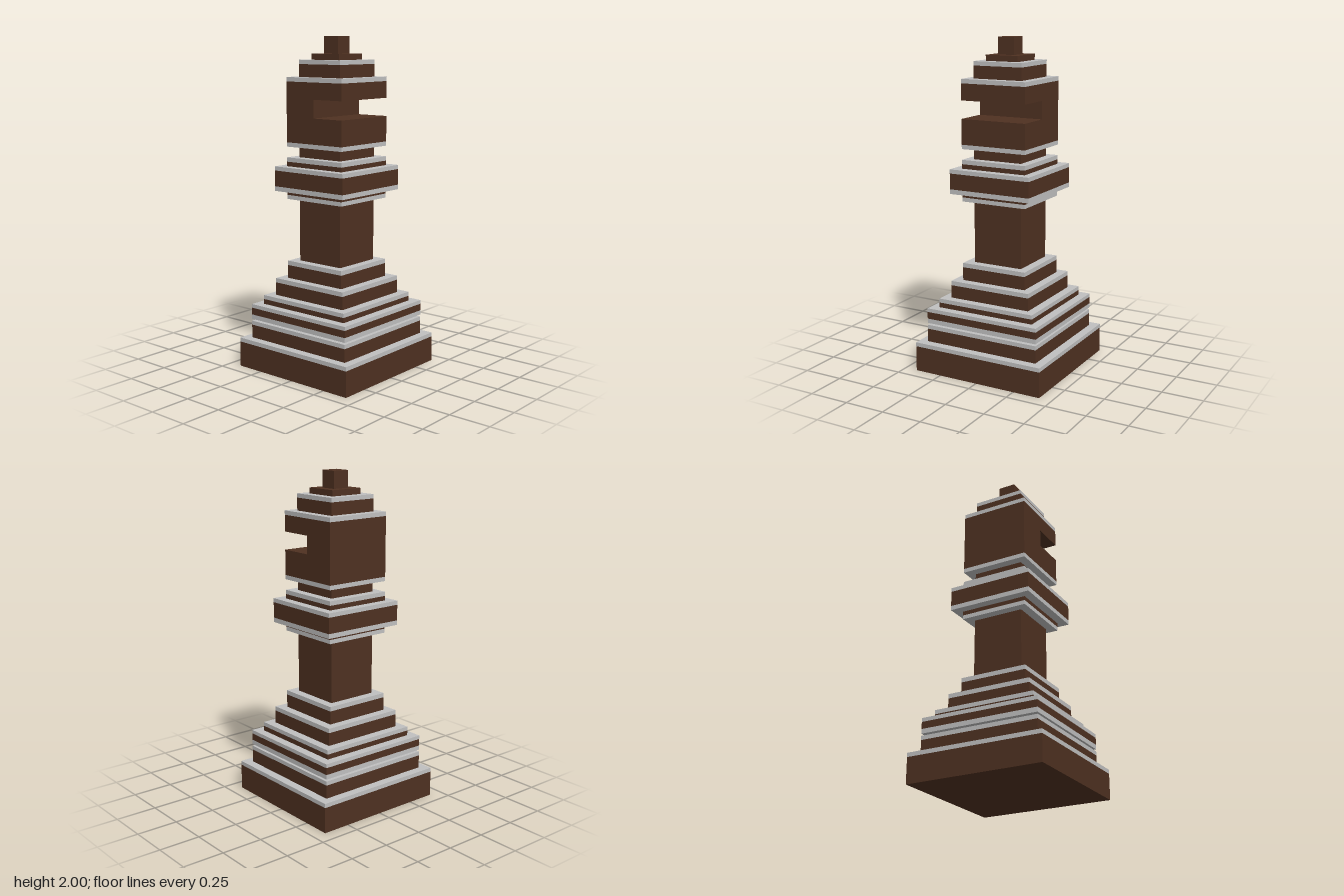
import * as THREE from 'three';

export function createModel() {
  const model = new THREE.Group();
  model.name = 'chessPiece';

  const wood = new THREE.MeshStandardMaterial({ color: 0x4f3121 });
  wood.name = 'dark brown';
  const silver = new THREE.MeshStandardMaterial({ color: 0xc0c0c0 });
  silver.name = 'light grey';

  const STEP = 0.0525; // every tier's half width is a multiple of this

  function tier(name, steps, y0, y1, material) {
    const w = steps * STEP * 2;
    const mesh = new THREE.Mesh(new THREE.BoxGeometry(w, y1 - y0, w), material);
    mesh.position.y = (y0 + y1) / 2;
    mesh.name = name;
    model.add(mesh);
  }

  // Brown tiers: name, half width in steps, bottom, top
  [
    ['base', 8, 0, 0.155],
    ['lowerStep', 7, 0.18, 0.26],
    ['baseGroove', 6, 0.285, 0.297],
    ['middleStep', 7, 0.325, 0.367],
    ['upperStep', 6, 0.39, 0.42],
    ['lowerNeck', 5, 0.445, 0.523],
    ['upperNeck', 4, 0.55, 0.63],
    ['shaft', 3, 0.657, 1.037],
    ['collarUnderside', 4, 1.062, 1.087],
    ['collar', 5, 1.115, 1.21],
    ['collarTop', 4, 1.235, 1.262],
    ['throat', 3, 1.288, 1.352],
    ['crown', 3, 1.763, 1.838],
    ['finialBase', 2, 1.863, 1.898],
    ['finial', 1, 1.898, 2],
  ].forEach(([name, steps, y0, y1]) => tier(name, steps, y0, y1, wood));

  // Light trim bands: half width in steps, bottom, top
  [
    [8, 0.155, 0.18],
    [7, 0.26, 0.285],
    [7, 0.297, 0.325],
    [7, 0.367, 0.39],
    [6, 0.42, 0.445],
    [5, 0.523, 0.55],
    [4, 0.63, 0.657],
    [4, 1.037, 1.062],
    [5, 1.087, 1.115],
    [5, 1.21, 1.235],
    [4, 1.262, 1.288],
    [4, 1.352, 1.378],
    [4, 1.737, 1.763],
    [3, 1.838, 1.863],
  ].forEach(([steps, y0, y1], i) => tier(`trimBand${i + 1}`, steps, y0, y1, silver));

  // Head: side profile (z, y) with a slot cut in from the front
  const r = 4 * STEP;
  const profile = new THREE.Shape([
    [-r, 1.378], [r, 1.378], [r, 1.53], [0, 1.53],
    [0, 1.638], [r, 1.638], [r, 1.737], [-r, 1.737],
  ].map(([z, y]) => new THREE.Vector2(z, y)));
  const headGeometry = new THREE.ExtrudeGeometry(profile, { depth: r * 2, bevelEnabled: false });
  headGeometry.translate(0, 0, -r);
  headGeometry.rotateY(-Math.PI / 2);
  const head = new THREE.Mesh(headGeometry, wood);
  head.name = 'slottedHead';
  model.add(head);

  return model;
}
